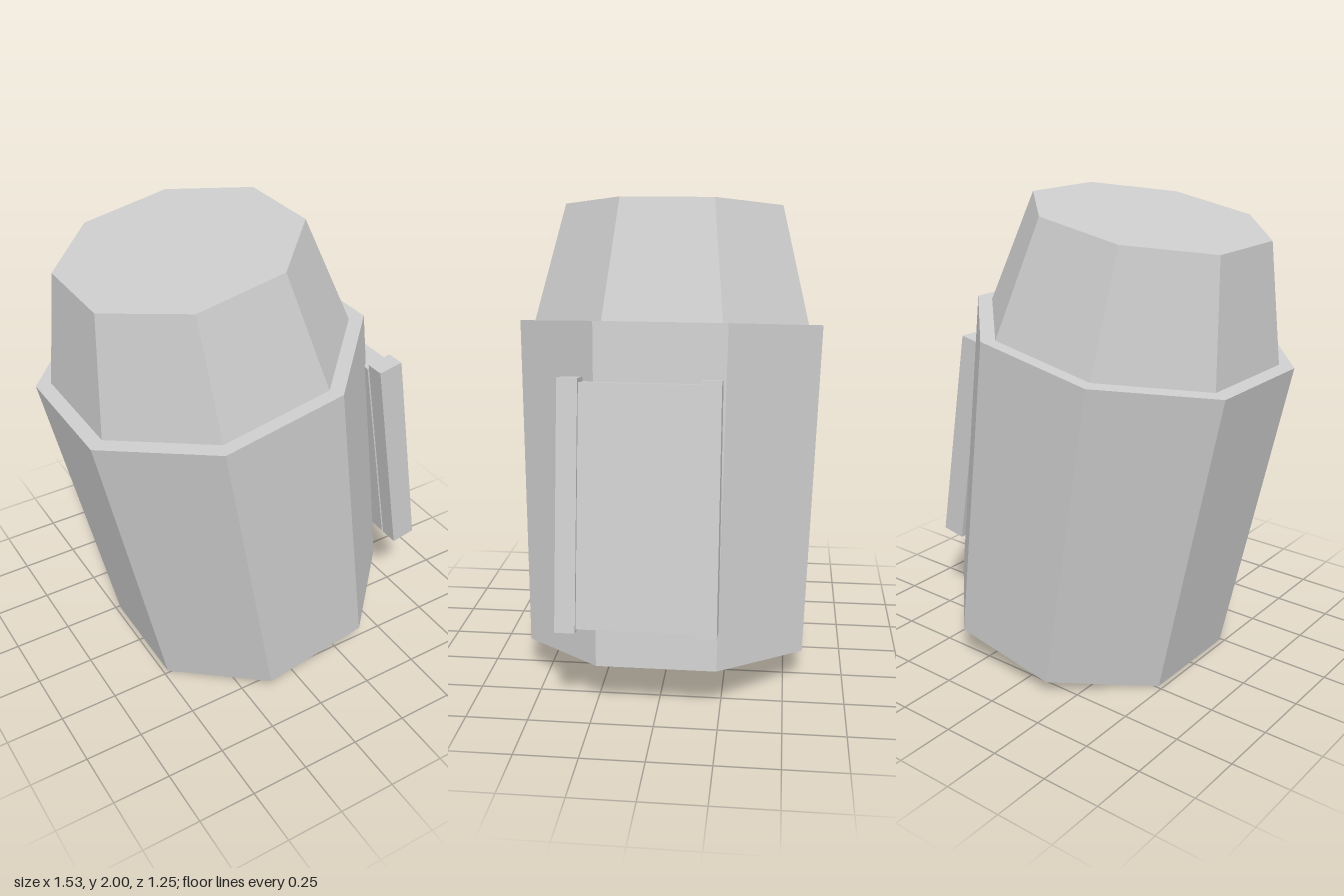
import * as THREE from 'three';

const grey = new THREE.MeshStandardMaterial({ color: 0xcccccc, flatShading: true });
grey.name = 'light grey';

// Octagonal frustum with flat sides facing the axes, sized by its apothems
function octagon(name, bottom, top, y0, height) {
  const k = 1 / Math.cos(Math.PI / 8);
  const geo = new THREE.CylinderGeometry(top * k, bottom * k, height, 8);
  geo.rotateY(Math.PI / 8);
  geo.translate(0, y0 + height / 2, 0);
  const mesh = new THREE.Mesh(geo, grey);
  mesh.name = name;
  return mesh;
}

// Box given by its minimum and maximum corners
function block(name, min, max) {
  const size = max.map((v, i) => v - min[i]);
  const mesh = new THREE.Mesh(new THREE.BoxGeometry(...size), grey);
  mesh.name = name;
  mesh.position.set(...max.map((v, i) => (v + min[i]) / 2));
  return mesh;
}

export function createModel() {
  const model = new THREE.Group();
  model.name = 'tiltedCanister';

  // Everything is built upright, then leaned towards -x
  const canister = new THREE.Group();
  canister.name = 'canister';
  canister.position.set(0.088, 0.1, 0);
  canister.rotation.z = THREE.MathUtils.degToRad(10);
  model.add(canister);

  // Main body and narrower tapered cap
  canister.add(octagon('body', 0.577, 0.627, 0, 1.36));
  canister.add(octagon('cap', 0.569, 0.452, 1.36, 0.488));

  // Side plate between two raised rails
  const plate = new THREE.Group();
  plate.name = 'sidePlate';
  plate.add(block('panel', [0.595, 0.178, -0.165], [0.695, 1.128, 0.3]));
  for (const [name, z] of [['backRail', -0.245], ['frontRail', 0.3]]) {
    plate.add(block(name, [0.602, 0.165, z], [0.711, 1.145, z + 0.08]));
  }
  canister.add(plate);

  return model;
}
